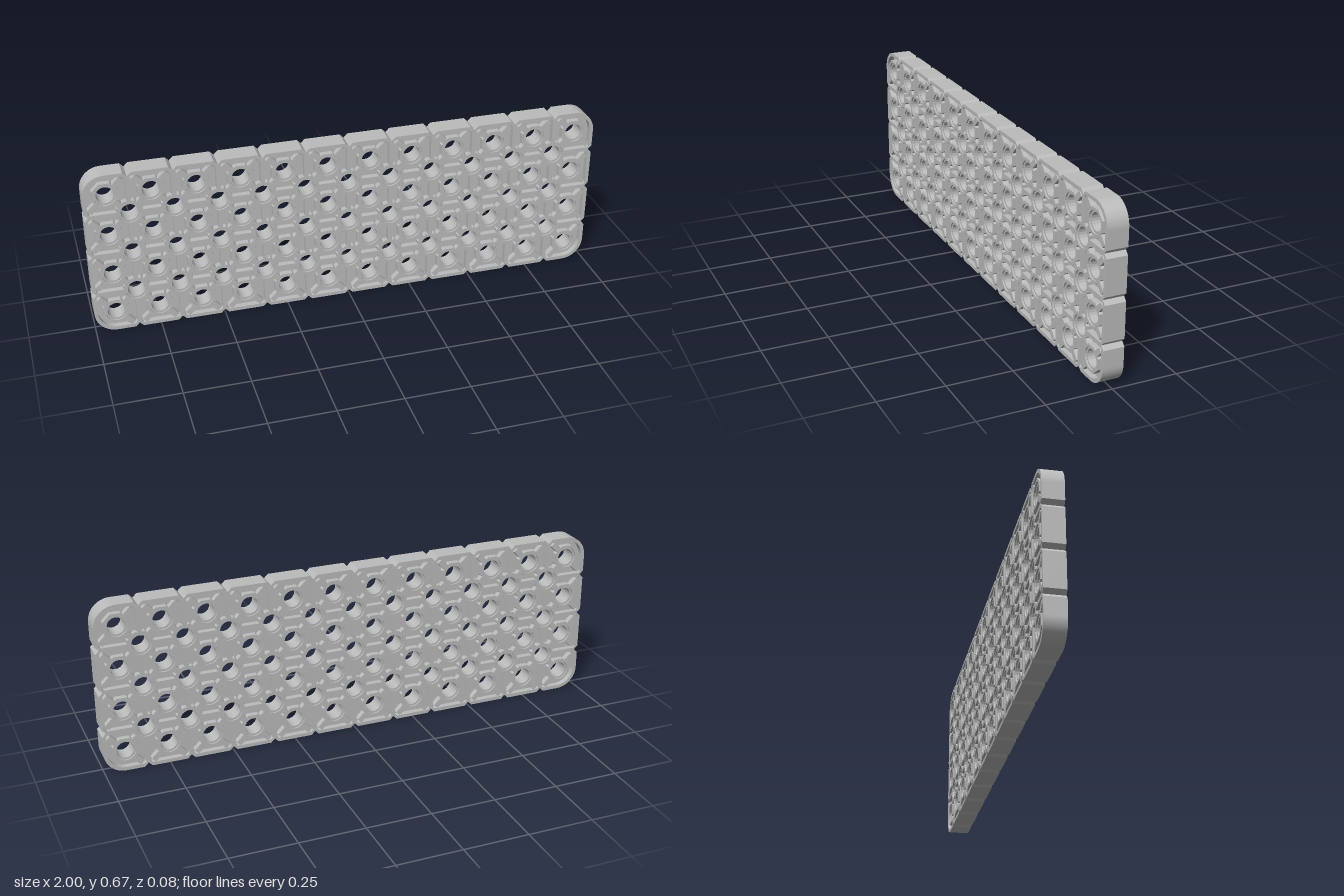
import * as THREE from 'three';
import { mergeGeometries } from 'three/addons/utils/BufferGeometryUtils.js';

const COLS = 12, ROWS = 4, P = 1 / 6;          // hole grid and pitch
const W = COLS * P, H = ROWS * P, D = 0.08;    // plate size
const HOLE = 0.033, SINK = 0.041, BOSS = 0.049, NOTCH = 0.015;

// Rounded outline with a V notch at every pitch line, inset by t
function outline(t, Type = THREE.Shape) {
  const s = new Type(), R = P / 2, x = W / 2 - t, r = R - t;
  const bottom = t, top = H - t;
  s.moveTo(-W / 2 + R, bottom);
  for (let i = 1; i < COLS; i++) {
    const c = -W / 2 + i * P;
    s.lineTo(c - NOTCH, bottom); s.lineTo(c, bottom + NOTCH); s.lineTo(c + NOTCH, bottom);
  }
  s.lineTo(W / 2 - R, bottom);
  s.absarc(W / 2 - R, R, r, -Math.PI / 2, 0, false);
  for (let j = 1; j < ROWS; j++) {
    const c = j * P;
    s.lineTo(x, c - NOTCH); s.lineTo(x - NOTCH, c); s.lineTo(x, c + NOTCH);
  }
  s.lineTo(x, H - R);
  s.absarc(W / 2 - R, H - R, r, 0, Math.PI / 2, false);
  for (let i = COLS - 1; i > 0; i--) {
    const c = -W / 2 + i * P;
    s.lineTo(c + NOTCH, top); s.lineTo(c, top - NOTCH); s.lineTo(c - NOTCH, top);
  }
  s.lineTo(-W / 2 + R, top);
  s.absarc(-W / 2 + R, H - R, r, Math.PI / 2, Math.PI, false);
  for (let j = ROWS - 1; j > 0; j--) {
    const c = j * P;
    s.lineTo(-x, c + NOTCH); s.lineTo(-x + NOTCH, c); s.lineTo(-x, c - NOTCH);
  }
  s.lineTo(-x, R);
  s.absarc(-W / 2 + R, R, r, Math.PI, Math.PI * 1.5, false);
  return s;
}

function circle(x, y, r, Type = THREE.Path) {
  return new Type().absarc(x, y, r, 0, Math.PI * 2, false);
}

function slab(shape, depth) {
  return new THREE.ExtrudeGeometry(shape, { depth, bevelEnabled: false, curveSegments: 10 })
    .translate(0, 0, -depth / 2);
}

// Upright bar between two points in the plate's plane
function bar(x1, y1, x2, y2, width) {
  return new THREE.BoxGeometry(Math.hypot(x2 - x1, y2 - y1), width, D)
    .rotateZ(Math.atan2(y2 - y1, x2 - x1))
    .translate((x1 + x2) / 2, (y1 + y2) / 2, 0);
}

export function createModel() {
  const group = new THREE.Group();
  const grey = new THREE.MeshStandardMaterial({ color: 0xbcbcbc });
  grey.name = 'light grey plastic';
  const add = (name, geometry) => {
    const mesh = new THREE.Mesh(geometry, grey);
    mesh.name = name;
    group.add(mesh);
  };

  // Hole centres: main grid plus the grid of cell corners between
  const gridHoles = [], cornerHoles = [];
  for (let j = 0; j < ROWS; j++)
    for (let i = 0; i < COLS; i++) {
      gridHoles.push([-W / 2 + (i + 0.5) * P, (j + 0.5) * P]);
      if (i && j) cornerHoles.push([-W / 2 + i * P, j * P]);
    }
  const holes = [...gridHoles, ...cornerHoles];

  // Outer wall
  const wall = outline(0);
  wall.holes.push(outline(0.014, THREE.Path));
  add('outerWall', slab(wall, D));

  // Thin web in the middle of the plate
  const web = outline(0.007);
  for (const [x, y] of holes) web.holes.push(circle(x, y, HOLE + 0.003));
  add('centreWeb', slab(web, 0.034));

  // Octagonal bosses with a slightly sunken bush round every hole
  const octagon = new THREE.Shape();
  for (let k = 0; k < 8; k++) {
    const a = (k + 0.5) * Math.PI / 4, r = BOSS / Math.cos(Math.PI / 8);
    octagon[k ? 'lineTo' : 'moveTo'](r * Math.cos(a), r * Math.sin(a));
  }
  octagon.holes.push(circle(0, 0, SINK));
  const bush = circle(0, 0, SINK, THREE.Shape);
  bush.holes.push(circle(0, 0, HOLE));
  const bossGeo = slab(octagon, D), bushGeo = slab(bush, D - 0.012);
  const place = g => mergeGeometries(holes.map(([x, y]) => g.clone().translate(x, y, 0)));
  add('holeBosses', place(bossGeo));
  add('holeBushes', place(bushGeo));

  // Diagonal ribs from each main hole to its four cell corners
  const diagonals = [];
  for (const [x, y] of gridHoles)
    for (const sx of [-1, 1])
      for (const sy of [-1, 1]) {
        const ex = x + sx * P / 2, ey = y + sy * P / 2;
        const onX = Math.abs(ex) > W / 2 - 0.01, onY = ey < 0.01 || ey > H - 0.01;
        if (onX && onY) continue;
        const a = 0.045 * Math.SQRT1_2;
        const b = (onX || onY ? 0.088 : 0.073) * Math.SQRT1_2;
        diagonals.push(bar(x + sx * a, y + sy * a, x + sx * b, y + sy * b, 0.022));
      }
  add('diagonalRibs', mergeGeometries(diagonals));

  // Straight ribs along the cell boundaries
  const straights = [];
  for (let i = 1; i < COLS; i++)
    for (let j = 0; j < ROWS; j++) {
      const x = -W / 2 + i * P;
      const y1 = j * P + (j ? 0.046 : 0.022), y2 = (j + 1) * P - (j < ROWS - 1 ? 0.046 : 0.022);
      straights.push(bar(x, y1, x, y2, 0.016));
    }
  for (let j = 1; j < ROWS; j++)
    for (let i = 0; i < COLS; i++) {
      const y = j * P;
      const x1 = -W / 2 + i * P + (i ? 0.046 : 0.022);
      const x2 = -W / 2 + (i + 1) * P - (i < COLS - 1 ? 0.046 : 0.022);
      straights.push(bar(x1, y, x2, y, 0.016));
    }
  add('straightRibs', mergeGeometries(straights));

  return group;
}
